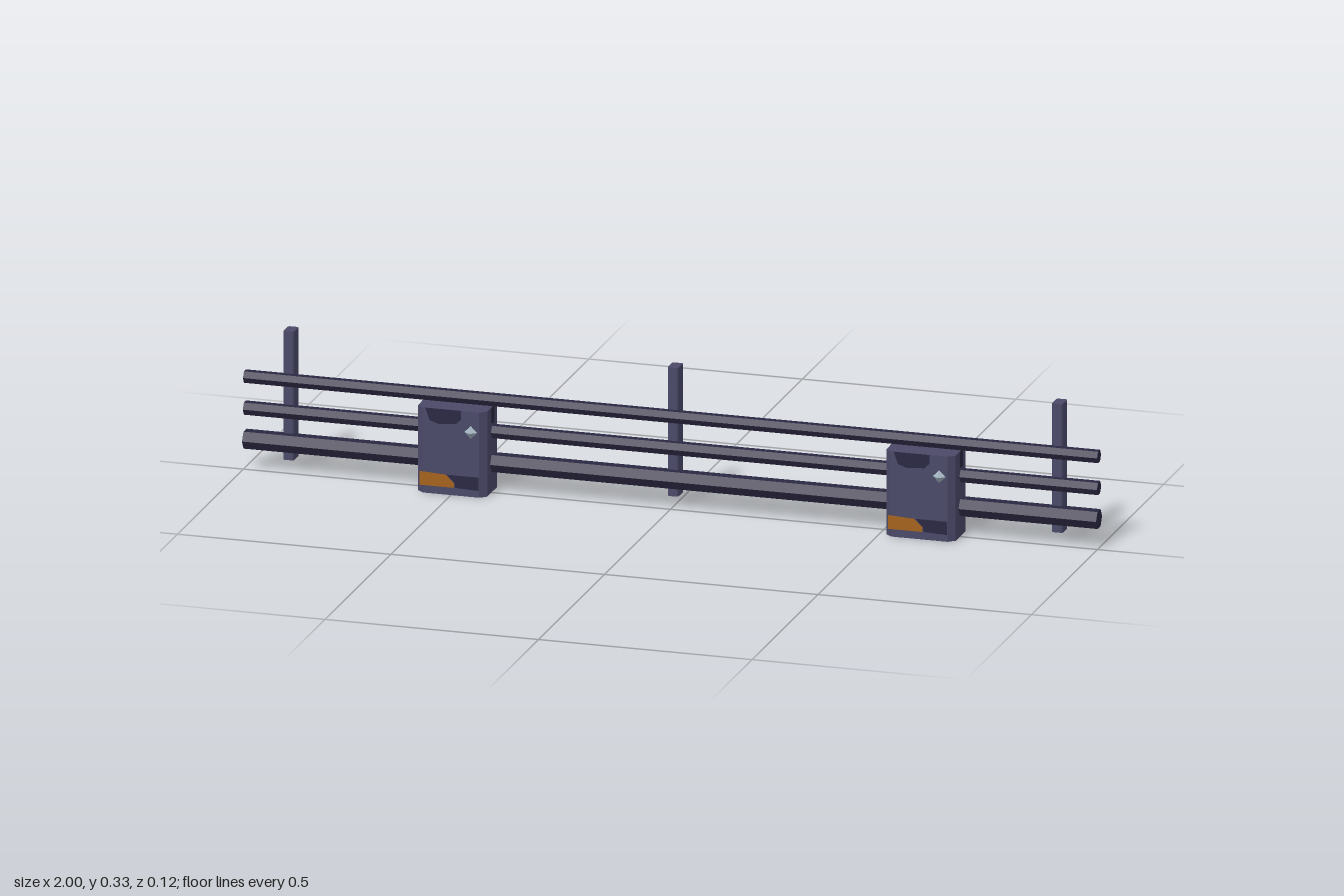
import * as THREE from 'three';

const mat = (name, color) => {
  const m = new THREE.MeshStandardMaterial({ color, flatShading: true });
  m.name = name;
  return m;
};

export function createModel() {
  const model = new THREE.Group();
  model.name = 'pipeFence';
  const pipeMat = mat('dark pipe', 0x2a2842);
  const steelMat = mat('slate metal', 0x4b4968);
  const orangeMat = mat('rust orange', 0xa5621c);
  const gemMat = mat('pale light', 0xa3b4c0);

  const add = (parent, name, geo, material, x = 0, y = 0, z = 0) => {
    const mesh = new THREE.Mesh(geo, material);
    mesh.name = name;
    mesh.position.set(x, y, z);
    parent.add(mesh);
    return mesh;
  };
  const polygon = (points) => new THREE.Shape(points.map(([x, y]) => new THREE.Vector2(x, y)));

  // Upright block with chamfered vertical corners, standing on y = 0
  const prism = (w, h, d, cx, cz) => {
    const a = w / 2, b = d / 2;
    const shape = polygon([[-a + cx, -b], [a - cx, -b], [a, -b + cz], [a, b - cz],
      [a - cx, b], [-a + cx, b], [-a, b - cz], [-a, -b + cz]]);
    return new THREE.ExtrudeGeometry(shape, { depth: h, bevelEnabled: false }).rotateX(-Math.PI / 2);
  };
  // Thin painted plate, facing +z
  const plate = (points) =>
    new THREE.ExtrudeGeometry(polygon(points), { depth: 0.001, bevelEnabled: false });

  // Three hexagonal pipes
  [['lowerPipe', 0.068, 0.023], ['middlePipe', 0.141, 0.0165], ['upperPipe', 0.215, 0.0155]]
    .forEach(([name, y, r]) => {
      const geo = new THREE.CylinderGeometry(r, r, 2, 6).rotateZ(Math.PI / 2);
      add(model, name, geo, pipeMat, 0, y, -0.012);
    });

  // Support posts behind the pipes
  for (const x of [-0.9, 0, 0.9]) {
    add(model, 'post', prism(0.025, 0.302, 0.039, 0.003, 0.003), steelMat, x, 0.025, -0.0375);
  }

  // Junction boxes with painted patches and a small lamp
  const topPatch = [[-0.06, 0.2], [-0.05, 0.172], [-0.03, 0.165], [0.012, 0.168], [0.024, 0.18], [0.024, 0.2]];
  const lowPatch = [[-0.01, 0.047], [0.008, 0.03], [0.01, 0.018], [0.065, 0.016], [0.065, 0.047]];
  const sidePatch = [[-0.012, 0.2], [-0.012, 0.166], [-0.004, 0.16], [0.012, 0.16], [0.012, 0.2]];
  const orangePatch = [[-0.073, 0.018], [0.006, 0.018], [0.008, 0.028], [-0.012, 0.047], [-0.073, 0.05]];
  for (const x of [-0.5, 0.597]) {
    const box = new THREE.Group();
    box.name = 'junctionBox';
    box.position.set(x, 0, -0.005);
    model.add(box);
    add(box, 'housing', prism(0.162, 0.2, 0.1, 0.015, 0.013), steelMat);
    add(box, 'frontTopPatch', plate(topPatch), pipeMat, 0, 0, 0.05);
    add(box, 'frontLowPatch', plate(lowPatch), pipeMat, 0, 0, 0.05);
    add(box, 'orangePlate', plate(orangePatch), orangeMat, 0, 0, 0.0505);
    for (const [name, pts] of [['backTopPatch', topPatch], ['backLowPatch', lowPatch]]) {
      add(box, name, plate(pts), pipeMat, 0, 0, -0.05).rotation.y = Math.PI;
    }
    for (const s of [-1, 1]) {
      add(box, 'sidePatch', plate(sidePatch), pipeMat, s * 0.081, 0, -0.004).rotation.y = s * Math.PI / 2;
    }
    // Faceted lamp set into the front face
    const lamp = add(box, 'lamp', new THREE.OctahedronGeometry(0.015), gemMat, 0.047, 0.152, 0.052);
    lamp.scale.z = 0.8;
  }
  return model;
}
